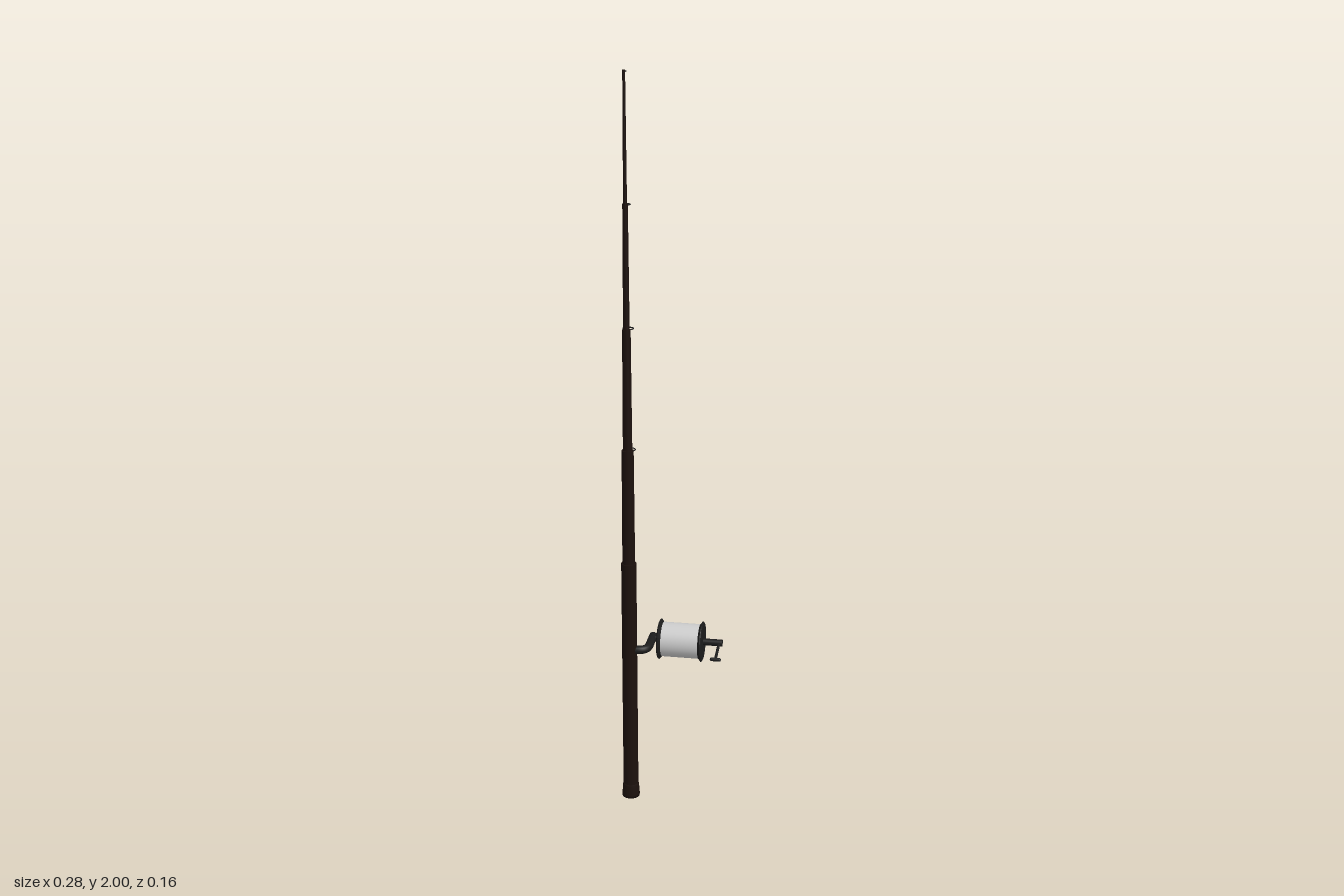
import * as THREE from 'three';

const brown = new THREE.MeshStandardMaterial({ color: 0x1c110d });
const black = new THREE.MeshStandardMaterial({ color: 0x1c1c1c });
const grey = new THREE.MeshStandardMaterial({ color: 0xcccccc });

const ROD_X = -0.114, ROD_Z = 0.055;
const REEL_Y = 0.454, REEL_Z = -0.025;

function add(parent, name, geometry, material, x = 0, y = 0, z = 0) {
  const mesh = new THREE.Mesh(geometry, material);
  mesh.name = name;
  mesh.position.set(x, y, z);
  parent.add(mesh);
  return mesh;
}

// Cylinder lying along x between two x values
function axial(parent, name, x0, x1, radius, material) {
  const mesh = add(parent, name, new THREE.CylinderGeometry(radius, radius, x1 - x0, 32), material, (x0 + x1) / 2);
  mesh.rotation.z = -Math.PI / 2;
  return mesh;
}

function createRod() {
  const rod = new THREE.Group();
  rod.name = 'rod';
  rod.position.set(ROD_X, 0, ROD_Z);

  // Butt cap with a slightly flared foot
  const cap = [[0, 0], [0.0245, 0], [0.0245, 0.008], [0.0225, 0.036], [0.0205, 0.042], [0, 0.042]];
  add(rod, 'buttCap', new THREE.LatheGeometry(cap.map(p => new THREE.Vector2(...p)), 24), brown);

  // Telescoping sections: bottom y, top y, bottom radius, top radius
  const sections = [
    [0.04, 0.71, 0.021, 0.0205],
    [0.71, 1.03, 0.0172, 0.016],
    [1.03, 1.355, 0.0125, 0.011],
    [1.355, 1.675, 0.0085, 0.007],
    [1.675, 2.0, 0.005, 0.0035],
  ];
  sections.forEach(([y0, y1, r0, r1], i) => {
    add(rod, `rodSection${i + 1}`, new THREE.CylinderGeometry(r1, r0, y1 - y0, 24), brown, 0, (y0 + y1) / 2, 0);
  });

  // Line guides: flat rings behind each section top
  const guides = [[1.022, 0.0165, 0.0145], [1.352, 0.0115, 0.0135], [1.672, 0.0075, 0.0095], [1.996, 0.0035, 0.004]];
  guides.forEach(([y, rodRadius, r], i) => {
    const ring = add(rod, `lineGuide${i + 1}`, new THREE.TorusGeometry(r, 0.0016, 8, 28), black, 0, y, -rodRadius - r);
    ring.rotation.x = Math.PI / 2;
  });
  return rod;
}

function createReel() {
  const reel = new THREE.Group();
  reel.name = 'reel';
  reel.position.set(0, REEL_Y, REEL_Z);

  // Curved arm joining the rod to the reel
  const z = v => v - REEL_Z;
  const path = new THREE.CurvePath();
  const v = (x, zz) => new THREE.Vector3(x, 0, z(zz));
  path.add(new THREE.LineCurve3(v(ROD_X, 0.055), v(-0.095, 0.055)));
  path.add(new THREE.CubicBezierCurve3(v(-0.095, 0.055), v(-0.075, 0.055), v(-0.065, 0.045), v(-0.065, 0.02)));
  path.add(new THREE.LineCurve3(v(-0.065, 0.02), v(-0.065, -0.041)));
  add(reel, 'reelArm', new THREE.TubeGeometry(path, 32, 0.0115, 16), black);
  const end = add(reel, 'armEnd', new THREE.CircleGeometry(0.0115, 16), black, -0.065, 0, z(-0.041));
  end.rotation.y = Math.PI;
  axial(reel, 'armAxle', -0.065, -0.044, 0.009, black);

  // Wound line between two bevelled flanges
  axial(reel, 'spool', -0.038, 0.07, 0.048, grey);
  const profile = [[0, 0], [0.046, 0], [0.046, 0.001], [0.056, 0.009], [0.0555, 0.011], [0.051, 0.0135], [0, 0.0135]]
    .map(p => new THREE.Vector2(...p));
  for (const side of [-1, 1]) {
    const flange = add(reel, side < 0 ? 'rightFlange' : 'leftFlange', new THREE.LatheGeometry(profile, 40).toNonIndexed(), black, 0.0165 + side * 0.049);
    flange.geometry.computeVertexNormals();
    flange.rotation.z = -side * Math.PI / 2;
  }

  // Crank
  axial(reel, 'crankAxle', 0.076, 0.132, 0.0095, black);
  const a = new THREE.Vector3(0.123, 0, 0), b = new THREE.Vector3(0.123, -0.014, z(0.051));
  add(reel, 'crankArm', new THREE.TubeGeometry(new THREE.LineCurve3(a, b), 1, 0.004, 12), black);
  const knob = add(reel, 'crankKnob', new THREE.CapsuleGeometry(0.005, 0.021, 6, 16), black, b.x, b.y, b.z);
  knob.rotation.z = Math.PI / 2;
  return reel;
}

export function createModel() {
  const model = new THREE.Group();
  model.name = 'fishingRod';
  model.add(createRod(), createReel());
  return model;
}
